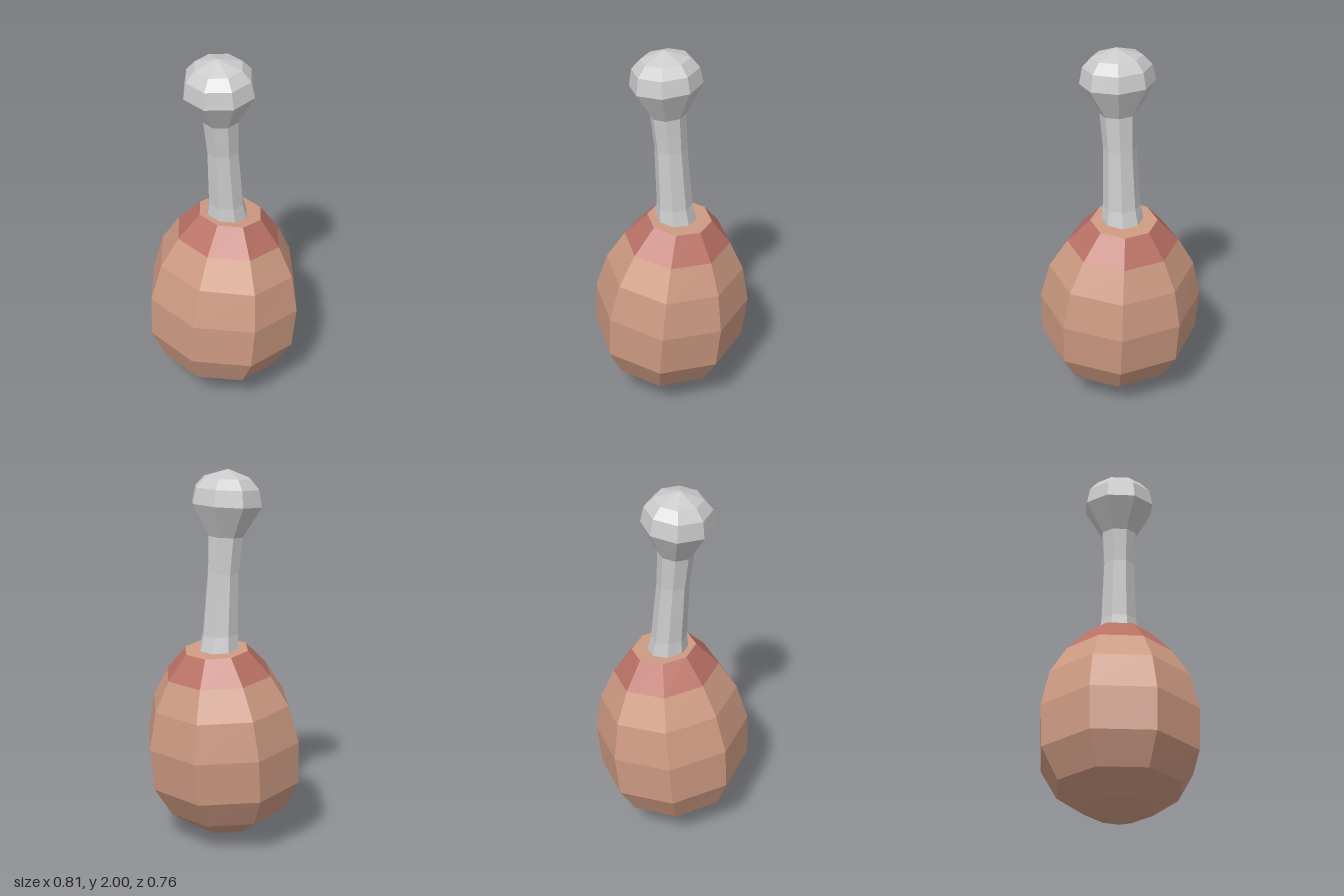
import * as THREE from 'three';

const SIDES = 8;

// Corner of an octagonal ring [halfWidth, frontZ, frontY, backZ, backY], flats facing the axes
function corner([hx, fz, fy, bz, by], i) {
  const a = ((i + 0.5) / SIDES) * Math.PI * 2;
  const r = 1 / Math.cos(Math.PI / SIDES);
  const u = Math.sin(a) * r, v = Math.cos(a) * r;
  return [hx * u, (fy + by) / 2 + (v * (fy - by)) / 2, (fz + bz) / 2 + (v * (fz - bz)) / 2];
}

// Faceted skin through tilted rings listed from bottom to top; zero-width rings are poles
function loft(name, color, rings) {
  const pos = [];
  for (let k = 0; k < rings.length - 1; k++) {
    const lo = rings[k], hi = rings[k + 1];
    for (let i = 0; i < SIDES; i++) {
      const a = corner(lo, i), b = corner(lo, i + 1);
      const c = corner(hi, i + 1), d = corner(hi, i);
      if (lo[0] > 0) pos.push(...a, ...b, ...c);
      if (hi[0] > 0) pos.push(...a, ...c, ...d);
    }
  }
  const geo = new THREE.BufferGeometry();
  geo.setAttribute('position', new THREE.Float32BufferAttribute(pos, 3));
  geo.computeVertexNormals();
  const mesh = new THREE.Mesh(geo, new THREE.MeshStandardMaterial({ color, flatShading: true }));
  mesh.name = name;
  return mesh;
}

export function createModel() {
  const group = new THREE.Group();
  group.name = 'maraca';
  const brown = 0xcd9a82, red = 0xb87064, grey = 0xcccccc;

  // Rings shared between the shell, its painted band and the lid
  const shoulder = [0.275, 0.22, 0.955, -0.292, 0.915];
  const rim = [0.165, 0.107, 1.08, -0.205, 1.05];

  // Egg-shaped shell, leaning slightly backwards
  group.add(loft('shell', brown, [
    [0, 0.045, 0, 0.045, 0],
    [0.175, 0.2, 0.1, -0.135, 0.065],
    [0.31, 0.32, 0.205, -0.262, 0.16],
    [0.395, 0.383, 0.375, -0.355, 0.315],
    [0.404, 0.375, 0.605, -0.382, 0.545],
    [0.362, 0.312, 0.805, -0.355, 0.75],
    shoulder,
  ]));
  group.add(loft('paintedBand', red, [shoulder, rim]));
  group.add(loft('shellLid', brown, [rim, [0, -0.049, 1.065, -0.049, 1.065]]));

  // Grip, curving gently forwards
  const neck = [0.09, 0.104, 1.65, -0.067, 1.662];
  group.add(loft('handle', grey, [
    [0.104, 0.073, 1.065, -0.127, 1.055],
    [0.092, 0.067, 1.15, -0.106, 1.14],
    [0.08, 0.081, 1.47, -0.075, 1.47],
    neck,
  ]));

  // Rounded knob at the end of the grip
  group.add(loft('knob', grey, [
    neck,
    [0.18, 0.2, 1.805, -0.142, 1.832],
    [0.164, 0.19, 1.895, -0.125, 1.915],
    [0.12, 0.147, 1.95, -0.08, 1.965],
    [0, 0.042, 2, 0.042, 2],
  ]));
  return group;
}
